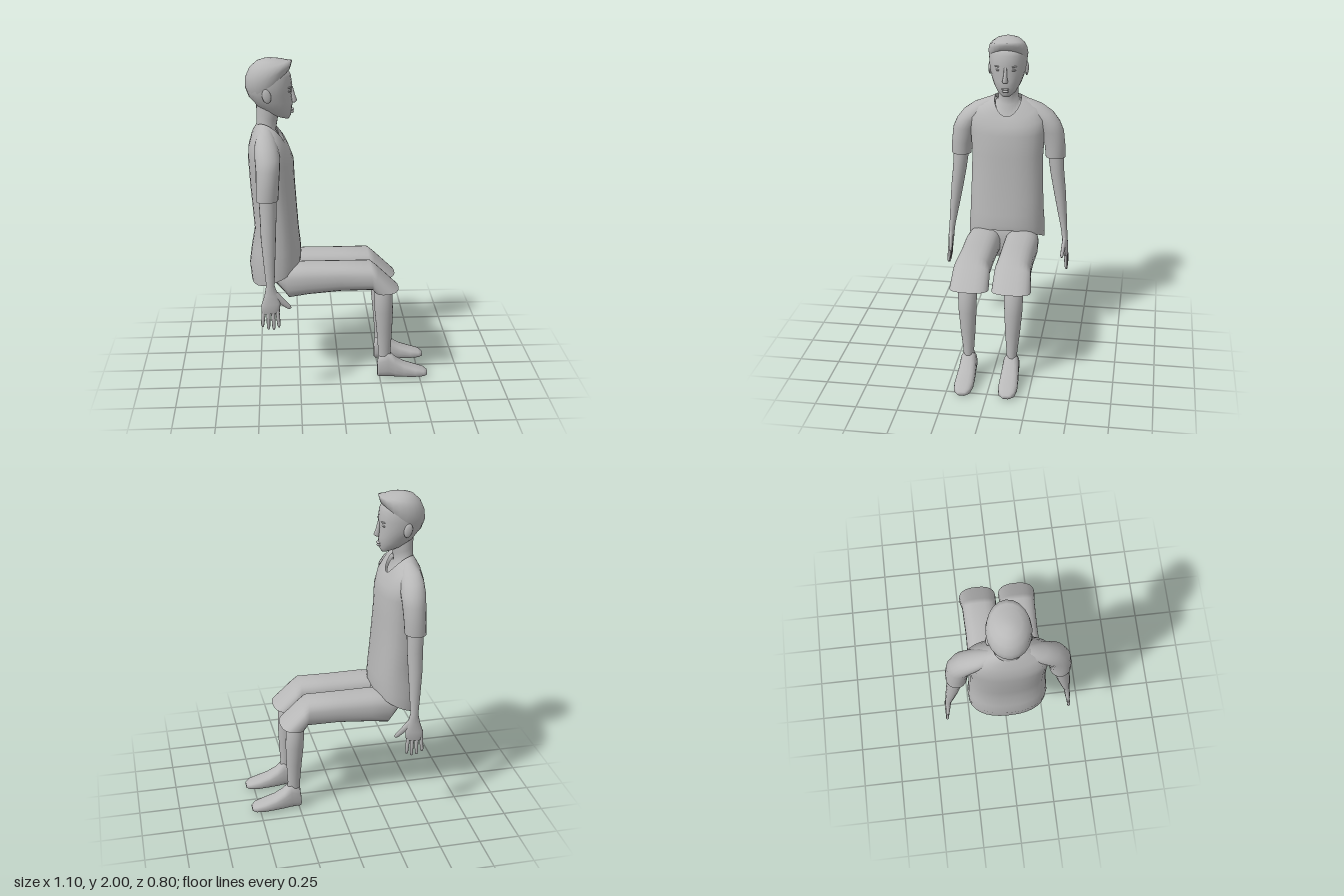
import * as THREE from 'three';

const gray = new THREE.MeshStandardMaterial({ color: 0xb8b8b8, side: THREE.DoubleSide });
gray.name = 'plain gray';

// Skin a surface over rings. Ring: [x0, y0, x1, y1, halfZ, centreZ, sideLift]:
// two opposite points in the xy plane, then the spread along z.
function loft(name, rings, { side = 1, offset = 0, n = 20, e = 2, bottom = false, top = false } = {}) {
  const shrink = ([x0, y0, x1, y1, , z = 0]) =>
    [(x0 + x1) / 2, (y0 + y1) / 2, (x0 + x1) / 2, (y0 + y1) / 2, 0, z];
  const all = [...rings];
  if (bottom) all.unshift(shrink(rings[0]));
  if (top) all.push(shrink(rings[rings.length - 1]));
  const bend = v => Math.sign(v) * Math.abs(v) ** (2 / e);
  const pos = [], index = [];
  all.forEach(([x0, y0, x1, y1, hz, z = 0, lift = 0], i) => {
    for (let j = 0; j < n; j++) {
      const t = j / n * Math.PI * 2, c = bend(Math.cos(t)), s = bend(Math.sin(t));
      pos.push((x0 + x1) / 2 + c * (x1 - x0) / 2,
        (y0 + y1) / 2 + c * (y1 - y0) / 2 + lift * s * s,
        z * side + offset + s * hz);
      if (i < all.length - 1) {
        const a = i * n + j, b = i * n + (j + 1) % n;
        index.push(a, a + n, b, b, a + n, b + n);
      }
    }
  });
  const g = new THREE.BufferGeometry();
  g.setAttribute('position', new THREE.Float32BufferAttribute(pos, 3));
  g.setIndex(index);
  g.computeVertexNormals();
  const m = new THREE.Mesh(g, gray);
  m.name = name;
  return m;
}

function blob(name, x, y, z, rx, ry, rz) {
  const m = new THREE.Mesh(new THREE.SphereGeometry(1, 14, 10), gray);
  m.name = name;
  m.position.set(x, y, z);
  m.scale.set(rx, ry, rz);
  return m;
}

function makeHead() {
  const head = new THREE.Group();
  head.name = 'head';
  head.add(loft('neck', [
    [-.49, 1.59, -.335, 1.495, .082, 0, .04], [-.49, 1.62, -.375, 1.57, .066],
    [-.488, 1.67, -.365, 1.63, .062], [-.49, 1.74, -.35, 1.7, .06]]));
  head.add(loft('face', [
    [-.37, 1.655, -.297, 1.64, .03], [-.43, 1.68, -.284, 1.66, .058],
    [-.485, 1.72, -.278, 1.7, .083], [-.515, 1.76, -.273, 1.74, .098],
    [-.54, 1.8, -.28, 1.79, .112], [-.545, 1.85, -.274, 1.84, .117],
    [-.54, 1.9, -.282, 1.9, .115], [-.51, 1.945, -.3, 1.94, .1]],
  { bottom: true, top: true, e: 2.1 }));
  // Hair cap swept forward into a short quiff
  head.add(loft('hair', [
    [-.5, 1.74, -.31, 1.925, .108], [-.53, 1.77, -.286, 1.94, .119],
    [-.553, 1.83, -.278, 1.965, .124], [-.55, 1.89, -.272, 1.985, .117],
    [-.525, 1.945, -.295, 1.985, .1], [-.485, 1.983, -.325, 1.992, .07],
    [-.44, 1.998, -.38, 2, .028]], { top: true }));
  head.add(loft('nose', [
    [-.285, 1.735, -.256, 1.737, .015], [-.285, 1.75, -.246, 1.747, .018],
    [-.285, 1.78, -.258, 1.78, .011], [-.29, 1.83, -.271, 1.83, .009]],
  { n: 8, bottom: true, top: true }));
  head.add(blob('upperLip', -.277, 1.695, 0, .012, .007, .025));
  head.add(blob('lowerLip', -.279, 1.68, 0, .012, .008, .02));
  for (const s of [-1, 1]) {
    head.add(blob('eye', -.3, 1.812, s * .045, .017, .008, .019));
    head.add(blob('brow', -.297, 1.835, s * .045, .018, .006, .025));
    const ear = blob('ear', -.425, 1.795, s * .115, .026, .043, .012);
    ear.rotation.z = .2;
    head.add(ear);
  }
  return head;
}

function makeArm(side) {
  const arm = new THREE.Group();
  arm.name = side > 0 ? 'leftArm' : 'rightArm';
  arm.add(loft('sleeve', [
    [-.497, 1.22, -.367, 1.225, .063, .304], [-.495, 1.3, -.362, 1.3, .066, .3],
    [-.495, 1.4, -.355, 1.4, .075, .28], [-.5, 1.46, -.352, 1.46, .08, .25],
    [-.5, 1.52, -.365, 1.515, .085, .2], [-.49, 1.565, -.385, 1.56, .07, .15],
    [-.46, 1.6, -.41, 1.595, .03, .1]], { side, top: true }));
  arm.add(loft('forearmAndPalm', [
    [-.478, .545, -.37, .555, .013, .388], [-.478, .6, -.365, .61, .017, .383],
    [-.458, .66, -.378, .66, .018, .378], [-.447, .72, -.398, .72, .02, .372],
    [-.46, .85, -.392, .85, .03, .355], [-.473, 1, -.385, 1, .04, .335],
    [-.476, 1.12, -.38, 1.12, .045, .318], [-.482, 1.25, -.378, 1.25, .05, .305]],
  { side, bottom: true, n: 16 }));
  // Fingers: tip x, tip y, root x
  for (const [x, y, r] of [[-.472, .468, -.464], [-.438, .45, -.437], [-.406, .447, -.41], [-.376, .462, -.384]]) {
    arm.add(loft('finger', [
      [x - .006, y, x + .006, y, .006, .394], [x - .01, y + .015, x + .01, y + .015, .009, .393],
      [r - .013, .565, r + .013, .565, .011, .387]], { side, n: 8, bottom: true }));
  }
  arm.add(loft('thumb', [
    [-.313, .566, -.3, .576, .007, .368], [-.33, .572, -.308, .592, .011, .369],
    [-.365, .6, -.338, .627, .013, .373], [-.42, .64, -.38, .68, .014, .377]],
  { side, n: 8, bottom: true }));
  return arm;
}

function makeLeg(side) {
  const leg = new THREE.Group();
  leg.name = side > 0 ? 'leftLeg' : 'rightLeg';
  const o = { side, offset: .012 };
  // Trouser leg bends over the knee and ends in an open hem
  leg.add(loft('trouserLeg', [
    [-.42, .73, -.38, .66, .08, .115], [-.34, .765, -.31, .557, .106, .12],
    [-.2, .77, -.2, .578, .11, .125], [0, .768, 0, .596, .107, .124],
    [.185, .768, .2, .6, .11, .126], [.23, .73, .2, .598, .114, .127],
    [.36, .605, .205, .59, .12, .129]], { ...o, e: 2.5, n: 24 }));
  leg.add(loft('shin', [
    [.238, .1, .325, .1, .036, .134], [.24, .18, .318, .18, .033, .135],
    [.228, .32, .325, .32, .046, .138], [.215, .45, .328, .45, .055, .141],
    [.208, .62, .32, .62, .06, .142]], { ...o, top: true }));
  leg.add(loft('foot', [
    [.236, .085, .236, .008, .033, .133], [.246, .15, .246, .003, .046, .133],
    [.3, .175, .3, .002, .05, .133], [.345, .128, .345, 0, .053, .133],
    [.4, .093, .4, 0, .057, .134], [.47, .067, .47, 0, .059, .135],
    [.525, .05, .525, .003, .05, .136], [.55, .033, .55, .008, .028, .136]],
  { ...o, e: 2.7, bottom: true, top: true }));
  return leg;
}

export function createModel() {
  const model = new THREE.Group();
  model.name = 'seatedPerson';
  model.add(makeHead());
  // Loose shirt, open below, with a scooped collar
  model.add(loft('shirt', [
    [-.54, .64, -.235, .77, .245, 0, -.02], [-.55, .74, -.232, .8, .246],
    [-.535, .85, -.236, .87, .239], [-.515, .96, -.246, .96, .235],
    [-.525, 1.1, -.256, 1.1, .23], [-.537, 1.25, -.266, 1.25, .228],
    [-.545, 1.4, -.272, 1.39, .238], [-.54, 1.48, -.293, 1.445, .245, 0, .03],
    [-.52, 1.55, -.312, 1.485, .19, 0, .045], [-.49, 1.605, -.328, 1.505, .085, 0, .05]],
  { n: 32, e: 2.3 }));
  model.add(loft('trouserSeat', [
    [-.35, .575, -.27, .575, .13], [-.4, .64, -.25, .63, .2],
    [-.46, .72, -.25, .72, .215], [-.48, .82, -.27, .82, .2]],
  { offset: .012, e: 2.4, bottom: true, top: true }));
  for (const side of [1, -1]) model.add(makeArm(side), makeLeg(side));
  return model;
}
